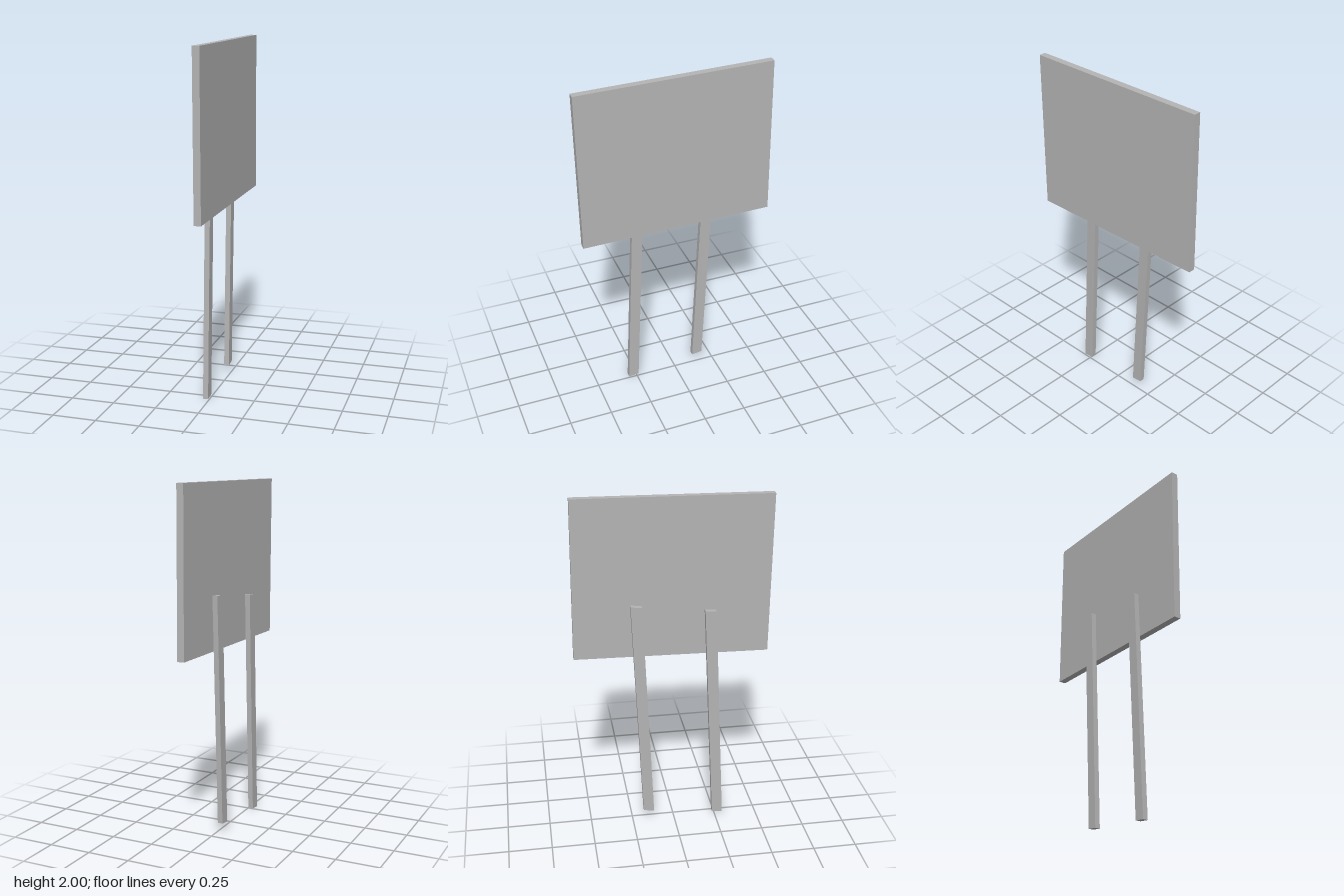
import * as THREE from 'three';

// Flat board from a (z, y) outline, running from x0 to x1
function board(name, outline, x0, x1, material) {
  const shape = new THREE.Shape(outline.map(([z, y]) => new THREE.Vector2(z, y)));
  const geometry = new THREE.ExtrudeGeometry(shape, { depth: x1 - x0, bevelEnabled: false });
  geometry.rotateY(-Math.PI / 2).translate(x1, 0, 0);
  const mesh = new THREE.Mesh(geometry, material);
  mesh.name = name;
  return mesh;
}

export function createModel() {
  const group = new THREE.Group();
  group.name = 'signboard';
  const grey = new THREE.MeshStandardMaterial({ color: 0xb4b4b4 });
  grey.name = 'light grey';

  // Slightly tilted sign panel
  group.add(board('panel',
    [[0.552, 1.06], [0.564, 1.985], [-0.552, 2], [-0.563, 1.077]], -0.003, 0.037, grey));

  // Two leaning posts fixed behind the panel
  const posts = [['frontPost', 0.3, 0], ['backPost', -0.12, 0.05]];
  for (const [name, z, y] of posts) {
    group.add(board(name,
      [[z, y], [z - 0.056, y + 1.33], [z - 0.12, y + 1.336], [z - 0.062, y + 0.008]],
      -0.037, -0.007, grey));
  }
  return group;
}
